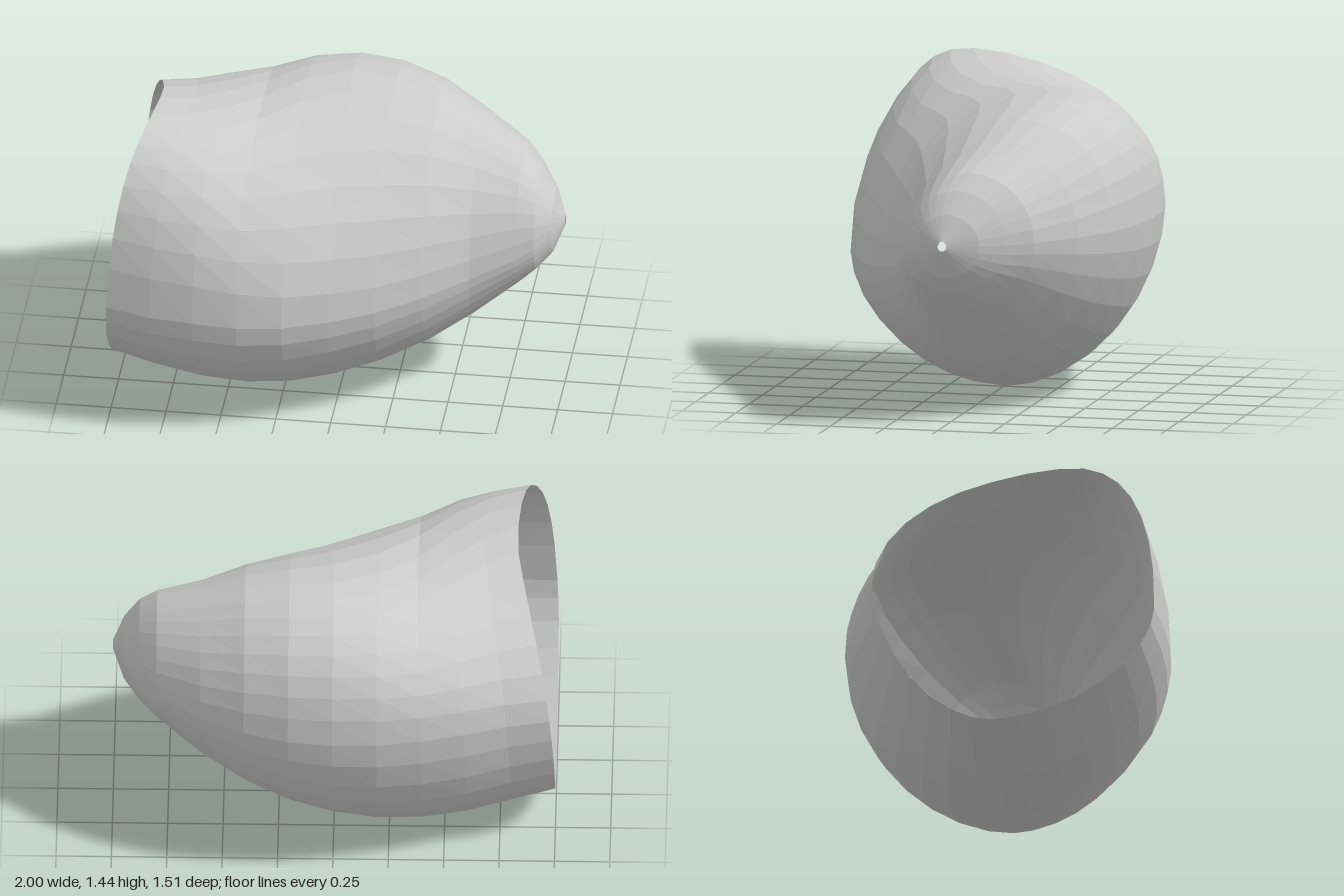
import * as THREE from 'three';

const SIDES = 32;

// One row per cross-section along the length:
// x, top y, z of the top, bottom y, front z, y of the front, back z, roundness of upper front, of upper back
const SECTIONS = [
  [-1.0, 1.44, 0.28, 0.13, 0.72, 0.66, -0.56, 2.4, 1.9],
  [-0.8, 1.415, 0.23, 0.07, 0.75, 0.64, -0.6, 2.4, 2.0],
  [-0.6, 1.39, 0.12, 0.02, 0.76, 0.63, -0.665, 2.35, 2.15],
  [-0.4, 1.368, -0.04, 0.0, 0.745, 0.61, -0.715, 2.2, 2.25],
  [-0.2, 1.39, -0.19, 0.01, 0.7, 0.6, -0.75, 2.0, 2.3],
  [0.0, 1.4, -0.27, 0.05, 0.62, 0.6, -0.755, 1.87, 2.3],
  [0.2, 1.385, -0.27, 0.12, 0.53, 0.61, -0.73, 1.8, 2.25],
  [0.4, 1.335, -0.23, 0.22, 0.42, 0.64, -0.665, 1.8, 2.2],
  [0.6, 1.24, -0.17, 0.36, 0.295, 0.68, -0.555, 1.85, 2.1],
  [0.8, 1.15, -0.1, 0.53, 0.215, 0.75, -0.4, 1.95, 2.0],
  [0.88, 1.08, -0.06, 0.61, 0.18, 0.79, -0.29, 2.0, 2.0],
  [0.95, 0.98, -0.03, 0.69, 0.11, 0.83, -0.18, 2.0, 2.0],
  [1.0, 0.865, -0.02, 0.82, 0.0, 0.84, -0.04, 2.0, 2.0],
];

// Point on a section: four rounded quarters joining its top, front, bottom and back
function sectionPoint(row, angle) {
  const [x, top, zTop, bottom, front, yFront, back, nFront, nBack] = row;
  const c = Math.cos(angle), s = Math.sin(angle);
  const zMid = s >= 0 ? zTop : -0.02;
  const yMid = c >= 0 ? yFront : 0.84;
  const n = s >= 0 ? (c >= 0 ? nFront : nBack) : (x > 0.85 ? 2 : 1.8);
  const u = Math.abs(c) ** (2 / n), v = Math.abs(s) ** (2 / n);
  const z = zMid + ((c >= 0 ? front : back) - zMid) * u;
  const y = yMid + ((s >= 0 ? top : bottom) - yMid) * v;
  // the open rim leans inward towards its top
  const t = Math.max(0, (y - 0.5) / 0.93);
  const lean = 0.04 * t + t ** 3 * (0.15 - 0.12 * Math.max(0, z));
  return [x + lean * Math.max(0, 1 - (x + 1) / 0.7), y, z];
}

function loftShell() {
  const positions = [], index = [];
  SECTIONS.forEach((row, r) => {
    for (let j = 0; j < SIDES; j++) {
      positions.push(...sectionPoint(row, (j / SIDES) * Math.PI * 2));
      if (r === SECTIONS.length - 1) continue;
      const a = r * SIDES + j, c = r * SIDES + ((j + 1) % SIDES);
      index.push(a, a + SIDES, c, c, a + SIDES, c + SIDES);
    }
  });
  const geometry = new THREE.BufferGeometry();
  geometry.setAttribute('position', new THREE.Float32BufferAttribute(positions, 3));
  geometry.setIndex(index);
  geometry.computeVertexNormals();
  return geometry;
}

export function createModel() {
  const group = new THREE.Group();
  group.name = 'openShell';
  // thin shell, wide open at one end with a tiny hole at the tip
  const shell = new THREE.Mesh(loftShell(), new THREE.MeshStandardMaterial({
    color: 0xcccccc, flatShading: true, side: THREE.DoubleSide,
  }));
  shell.name = 'shell';
  group.add(shell);
  return group;
}
